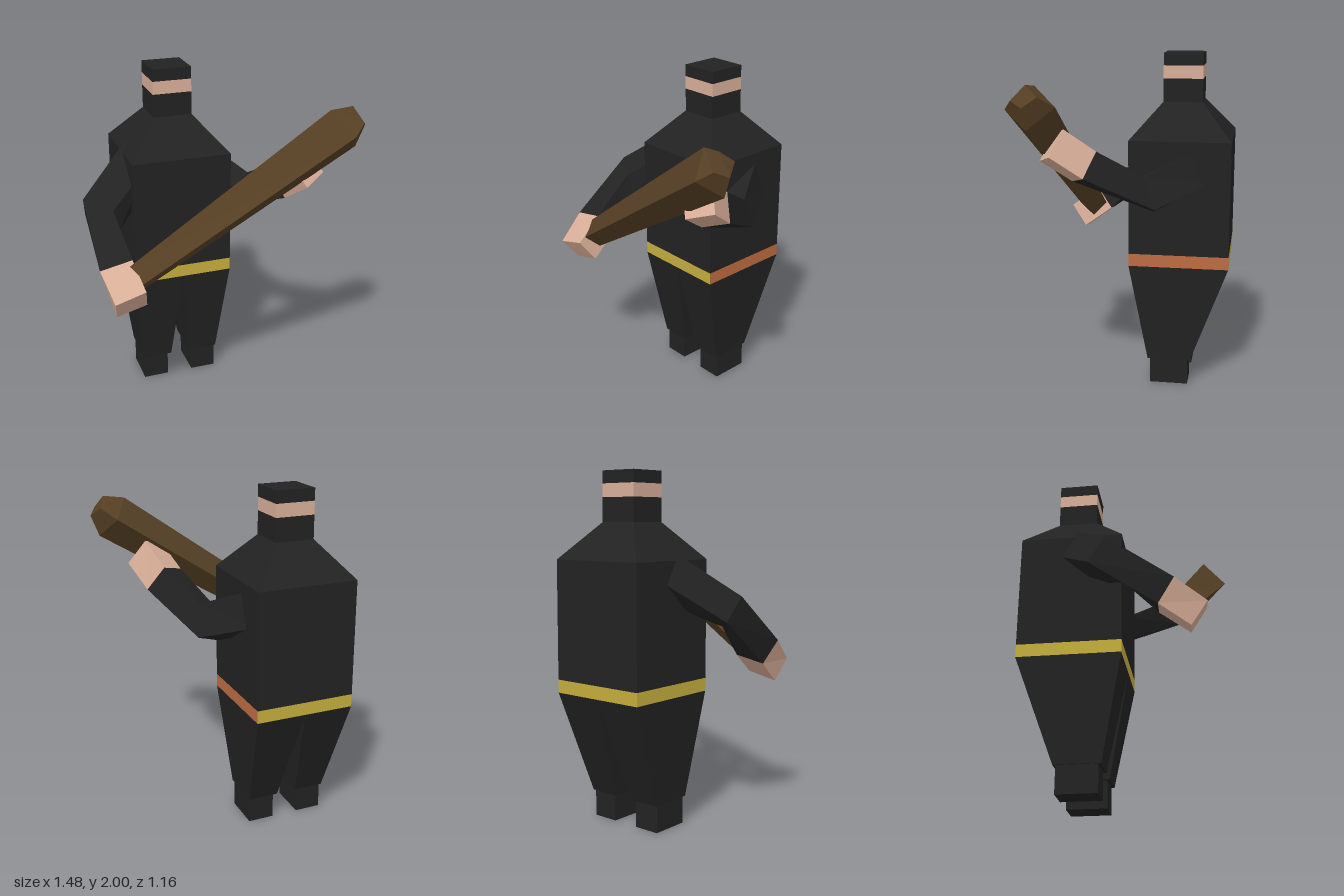
import * as THREE from 'three';

const flat = (name, color) => {
  const m = new THREE.MeshStandardMaterial({ color });
  m.name = name;
  return m;
};

// Joins four-cornered cross-sections into a closed, flat-faced solid.
function loft(sections) {
  const V = sections.map(s => s.map(p => new THREE.Vector3(...p)));
  const tris = [];
  const quad = (a, b, c, d) => tris.push([a, b, c], [a, c, d]);
  for (let i = 0; i < V.length - 1; i++) {
    for (let j = 0; j < 4; j++) {
      const k = (j + 1) % 4;
      quad(V[i][j], V[i][k], V[i + 1][k], V[i + 1][j]);
    }
  }
  const end = V[V.length - 1];
  quad(V[0][3], V[0][2], V[0][1], V[0][0]);
  quad(end[0], end[1], end[2], end[3]);
  // Turn the faces outward whichever way the corners were listed
  const volume = tris.reduce((sum, [a, b, c]) => sum + a.dot(b.clone().cross(c)), 0);
  const points = tris.flatMap(([a, b, c]) => (volume < 0 ? [a, c, b] : [a, b, c]));
  const geometry = new THREE.BufferGeometry().setFromPoints(points);
  geometry.computeVertexNormals();
  return geometry;
}

// Horizontal rectangle as a cross-section
const rect = (y, x0, x1, z0, z1) => [[x0, y, z1], [x1, y, z1], [x1, y, z0], [x0, y, z0]];

export function createModel() {
  const black = flat('blackCloth', 0x222222);
  const skin = flat('skin', 0xd8ae98);
  const yellow = flat('yellowBelt', 0xc4ad3c);
  const orange = flat('orangeBelt', 0xbd6b41);
  const wood = flat('wood', 0x553f24);

  const model = new THREE.Group();
  model.name = 'fighter';
  const add = (name, geometry, material, parent = model) => {
    const mesh = new THREE.Mesh(geometry, material);
    mesh.name = name;
    parent.add(mesh);
    return mesh;
  };

  const cx = -0.165, cz = -0.29;
  const square = (y, h) => rect(y, cx - h, cx + h, cz - h, cz + h);

  // Torso with sloping shoulders
  add('torso', loft([square(0.84, 0.295), square(1.515, 0.295), square(1.72, 0.115)]), black);

  // Belt, with one side in a different colour
  const belt = add('belt', new THREE.BoxGeometry(0.59, 0.075, 0.59),
    [orange, yellow, yellow, yellow, yellow, yellow]);
  belt.position.set(cx, 0.8025, cz);

  // Head: mask, bare strip at the eyes, hood
  add('mask', loft([square(1.72, 0.115), square(1.855, 0.115)]), black);
  add('eyeStrip', loft([square(1.855, 0.115), square(1.93, 0.115)]), skin);
  add('hood', loft([square(1.93, 0.115), square(2, 0.115)]), black);

  // Tapered legs and block feet
  for (const [side, s] of [['left', 1], ['right', -1]]) {
    const span = (y, a, b, z0, z1) => rect(y, cx + s * a, cx + s * b, z0, z1);
    add(side + 'Leg', loft([
      span(0.158, 0.06, 0.24, -0.365, -0.105),
      span(0.765, 0, 0.295, -0.585, 0.005),
    ]), black);
    add(side + 'Foot', loft([
      span(0, 0.08, 0.235, -0.35, -0.12),
      span(0.158, 0.08, 0.235, -0.35, -0.12),
    ]), black);
  }

  // Bent arms: shoulder, elbow, wrist and fist cross-sections
  const arms = {
    right: [
      [[-0.43, 1.57, -0.27], [-0.35, 1.46, -0.1], [-0.33, 1.27, -0.2], [-0.4, 1.43, -0.385]],
      [[-0.74, 1.325, -0.05], [-0.59, 1.27, 0.045], [-0.555, 1.14, 0.03], [-0.715, 1.19, -0.15]],
      [[-0.74, 1.05, 0.32], [-0.555, 1.085, 0.315], [-0.525, 0.955, 0.22], [-0.7, 0.92, 0.23]],
      [[-0.7, 0.92, 0.49], [-0.525, 0.965, 0.48], [-0.5, 0.835, 0.39], [-0.675, 0.795, 0.4]],
    ],
    left: [
      [[0.1, 1.47, -0.4], [-0.03, 1.42, -0.32], [-0.02, 1.23, -0.42], [0.1, 1.28, -0.475]],
      [[0.283, 1.337, -0.115], [0.161, 1.29, -0.03], [0.178, 1.114, -0.15], [0.311, 1.156, -0.173]],
      [[0.398, 1.496, 0.14], [0.268, 1.456, 0.225], [0.355, 1.318, 0.286], [0.485, 1.358, 0.2]],
      [[0.455, 1.623, 0.308], [0.325, 1.58, 0.39], [0.41, 1.438, 0.456], [0.545, 1.483, 0.37]],
    ],
  };
  for (const [side, s] of Object.entries(arms)) {
    const arm = new THREE.Group();
    arm.name = side + 'Arm';
    model.add(arm);
    add(side + 'Sleeve', loft(s.slice(0, 3)), black, arm);
    add(side + 'Hand', loft(s.slice(2)), skin, arm);
  }

  // Wooden club widening to a bevelled tip; corners run top, front, bottom, back
  add('club', loft([
    [[-0.65, 1.01, 0.335], [-0.6, 0.943, 0.425], [-0.56, 0.875, 0.335], [-0.6, 0.943, 0.252]],
    [[0.533, 1.862, 0.44], [0.62, 1.745, 0.58], [0.69, 1.645, 0.45], [0.614, 1.76, 0.311]],
    [[0.655, 1.878, 0.457], [0.693, 1.8, 0.528], [0.735, 1.767, 0.46], [0.693, 1.82, 0.386]],
  ]), wood);

  return model;
}
